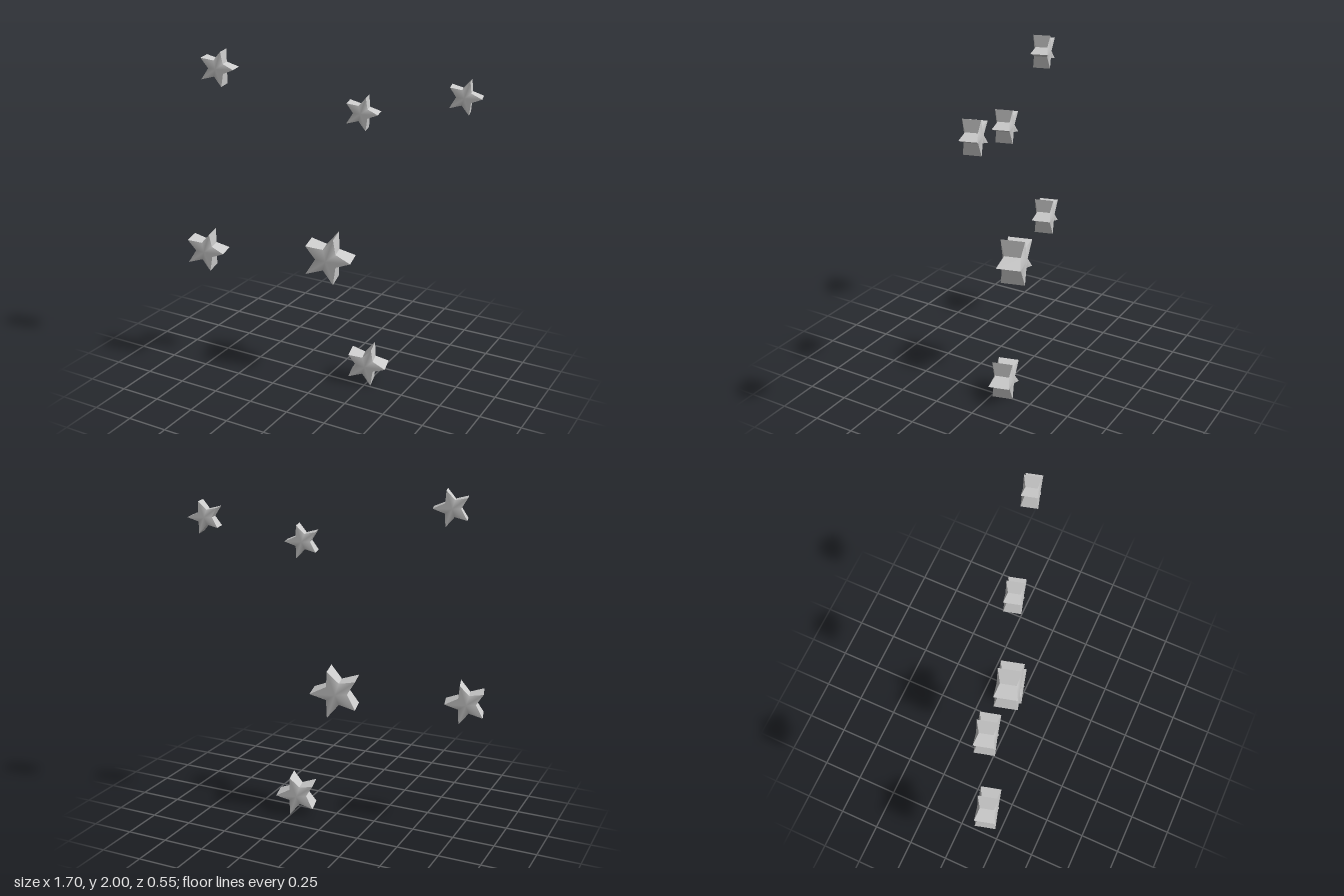
import * as THREE from 'three';

// Five-pointed star of radius 1: deep at the tips and centre, thinner in the valleys
function starGeometry(inner = 0.46, tipDepth = 0.5, valleyDepth = 0.34) {
  const pos = [], index = [];
  const rim = (i, side) => {
    const tip = i % 2 === 0, a = (i * Math.PI) / 5, r = tip ? 1 : inner;
    return [r * Math.cos(a), r * Math.sin(a), side * (tip ? tipDepth : valleyDepth)];
  };
  // front and back caps, smooth around a centre point
  for (const side of [1, -1]) {
    const c = pos.length / 3;
    pos.push(0, 0, side * tipDepth);
    for (let i = 0; i < 10; i++) pos.push(...rim(i, side));
    for (let i = 0; i < 10; i++) {
      const a = c + 1 + i, b = c + 1 + ((i + 1) % 10);
      index.push(c, ...(side > 0 ? [a, b] : [b, a]));
    }
  }
  // flat side walls with their own corners
  for (let i = 0; i < 10; i++) {
    const s = pos.length / 3;
    pos.push(...rim(i, 1), ...rim(i, -1), ...rim(i + 1, -1), ...rim(i + 1, 1));
    index.push(s, s + 1, s + 2, s, s + 2, s + 3);
  }
  const g = new THREE.BufferGeometry();
  g.setAttribute('position', new THREE.Float32BufferAttribute(pos, 3));
  g.setIndex(index);
  g.computeVertexNormals();
  return g;
}

export function createModel() {
  const group = new THREE.Group();
  group.name = 'starCluster';
  const material = new THREE.MeshStandardMaterial({ color: 0xcccccc });
  const geometry = starGeometry();
  const turn = THREE.MathUtils.degToRad(15);

  // x, y, radius of each star; all lie in one turned plane
  const stars = [
    [-0.626, 1.9, 0.106],
    [0.739, 1.812, 0.097],
    [0.188, 1.69, 0.099],
    [-0.738, 0.773, 0.123],
    [0, 0.793, 0.15],
    [0.233, 0.12, 0.125],
  ];
  stars.forEach(([x, y, r], i) => {
    const star = new THREE.Mesh(geometry, material);
    star.name = `star${i + 1}`;
    star.position.set(x, y, -x * Math.tan(turn));
    star.rotation.y = turn;
    star.scale.setScalar(r);
    group.add(star);
  });
  return group;
}
